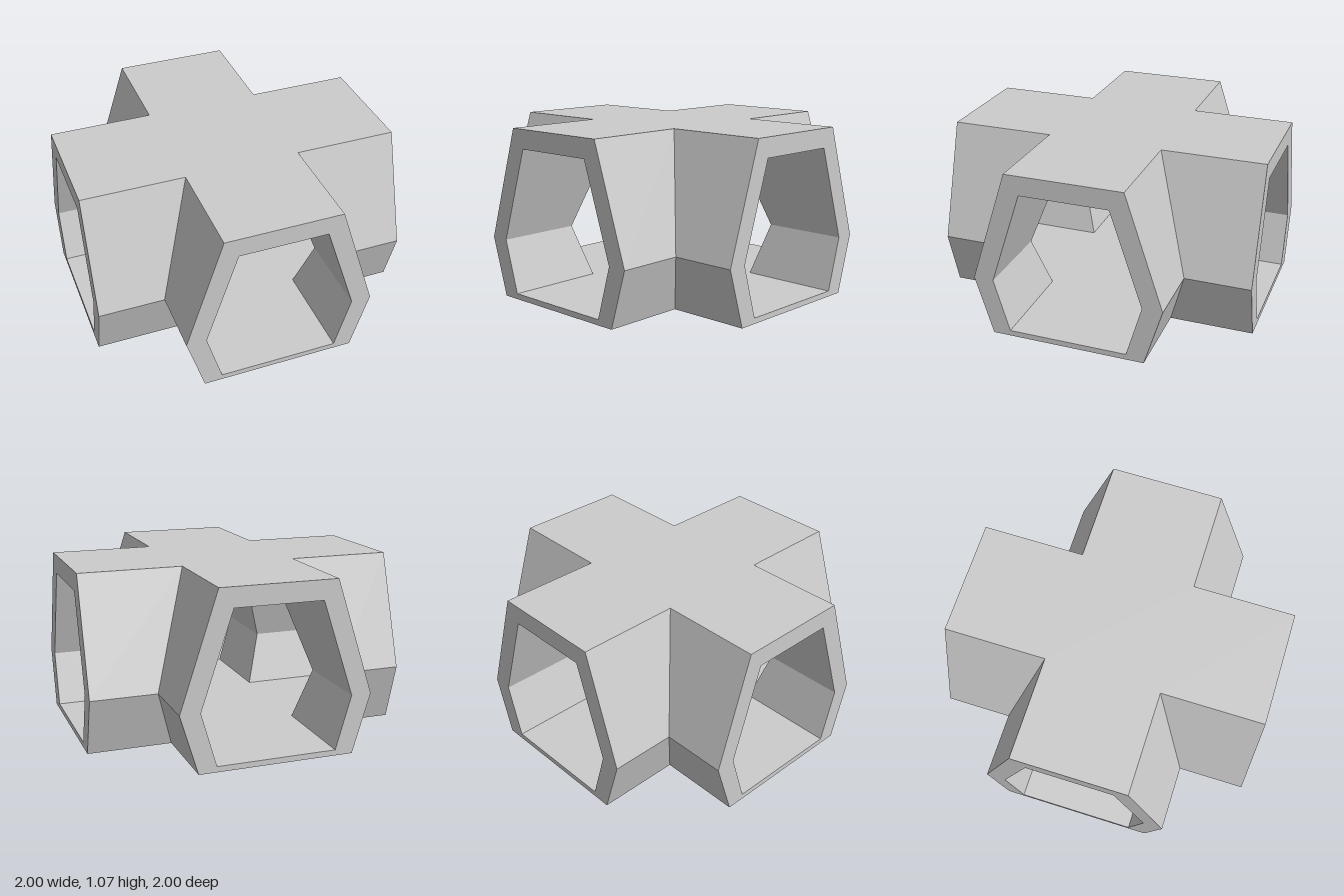
import * as THREE from 'three';

// Half profiles [half width, height]: floor edge, knee, ceiling edge
const OUTER = [[0.48, 0], [0.59, 0.363], [0.36, 1.067]];
const INNER = [[0.37, 0.035], [0.466, 0.363], [0.272, 0.947]];

const material = new THREE.MeshStandardMaterial({ color: 0xcccccc, flatShading: true });

// Mirror a half profile into a closed counter-clockwise ring
function ring(half) {
  const left = half.map(([x, y]) => [-x, y]).reverse();
  return [...half, ...left].map(([x, y]) => new THREE.Vector2(x, y));
}

// Side walls of one arm, running from its open end to the 45 degree mitre
function wallGeometry(half, inward) {
  const pts = ring(half);
  const positions = [];
  for (const i of [0, 1, 3, 4]) {
    const p = pts[i], q = pts[i + 1];
    const a = [p.x, p.y, 1], b = [p.x, p.y, Math.abs(p.x)];
    const c = [q.x, q.y, Math.abs(q.x)], d = [q.x, q.y, 1];
    const order = inward ? [a, c, b, a, d, c] : [a, b, c, a, c, d];
    positions.push(...order.flat());
  }
  const geometry = new THREE.BufferGeometry();
  geometry.setAttribute('position', new THREE.Float32BufferAttribute(positions, 3));
  geometry.computeVertexNormals();
  return geometry;
}

// Flat frame around the open end of an arm
function rimGeometry() {
  const shape = new THREE.Shape(ring(OUTER));
  shape.holes.push(new THREE.Path(ring(INNER).reverse()));
  return new THREE.ShapeGeometry(shape).translate(0, 0, 1);
}

// Horizontal cross-shaped sheet spanning all four arms
function crossGeometry([w, y], up) {
  const points = [];
  for (let k = 0; k < 4; k++) {
    for (const [x, z] of [[w, w], [w, 1], [-w, 1]]) {
      points.push(new THREE.Vector2(x, z).rotateAround(new THREE.Vector2(), k * Math.PI / 2));
    }
  }
  return new THREE.ShapeGeometry(new THREE.Shape(points))
    .rotateX(up ? -Math.PI / 2 : Math.PI / 2)
    .translate(0, y, 0);
}

function addMesh(parent, name, geometry) {
  const mesh = new THREE.Mesh(geometry, material);
  mesh.name = name;
  parent.add(mesh);
}

export function createModel() {
  const model = new THREE.Group();
  model.name = 'corridorCrossing';

  // Floor and ceiling sheets
  addMesh(model, 'underside', crossGeometry(OUTER[0], false));
  addMesh(model, 'floor', crossGeometry(INNER[0], true));
  addMesh(model, 'ceiling', crossGeometry(INNER[2], false));
  addMesh(model, 'roof', crossGeometry(OUTER[2], true));

  // Four identical arms
  const outerWalls = wallGeometry(OUTER, false);
  const innerWalls = wallGeometry(INNER, true);
  const rim = rimGeometry();
  ['frontArm', 'leftArm', 'backArm', 'rightArm'].forEach((name, k) => {
    const arm = new THREE.Group();
    arm.name = name;
    addMesh(arm, 'outerWalls', outerWalls);
    addMesh(arm, 'innerWalls', innerWalls);
    addMesh(arm, 'endRim', rim);
    arm.rotation.y = k * Math.PI / 2;
    model.add(arm);
  });
  return model;
}
